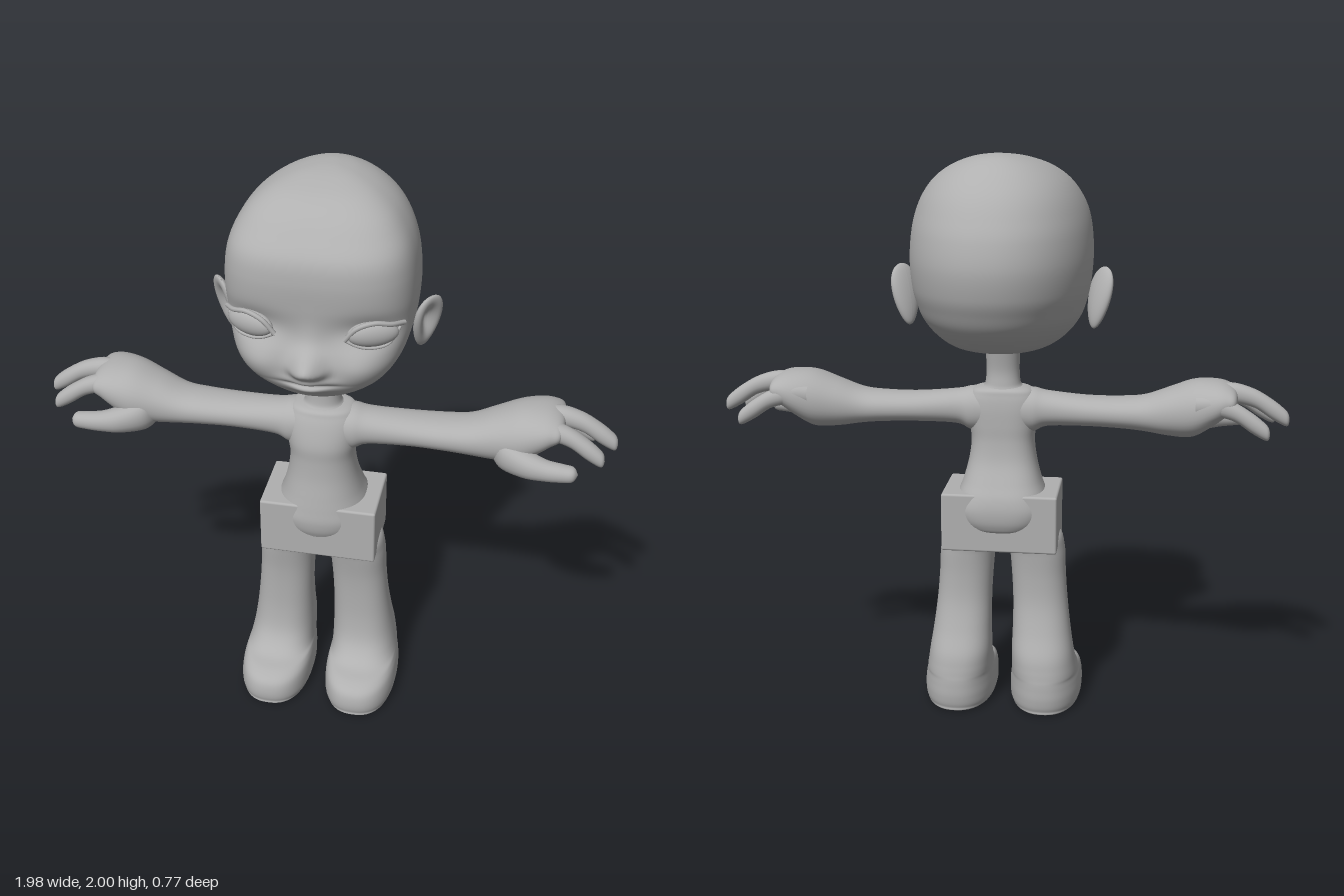
import * as THREE from 'three';
import { RoundedBoxGeometry } from 'three/addons/geometries/RoundedBoxGeometry.js';

const clay = new THREE.MeshStandardMaterial({ color: 0xb0b0b0 });
clay.name = 'clay grey';

function add(parent, name, geometry) {
  const mesh = new THREE.Mesh(geometry, clay);
  mesh.name = name;
  parent.add(mesh);
  return mesh;
}

// Smooth blend through neighbouring cross-sections
function spline(p0, p1, p2, p3, t) {
  return p1.map((b, i) => {
    const a = p0[i], c = p2[i], d = p3[i];
    return b + 0.5 * t * (c - a + t * (2 * a - 5 * b + 4 * c - d + t * (3 * (b - c) + d - a)));
  });
}

// Closed skin over sections [t, a0, a1, z0, z1]: extents of each ring.
// axis 'y': t = y, a = x.   axis 'x': t = x, a = y.
function loft(sections, { axis = 'y', seg = 40, steps = 6, nFront = 2.2, nBack = 2.2, mid = 0.5, warp } = {}) {
  const rings = [], last = sections.length - 1;
  const at = (i) => sections[Math.max(0, Math.min(last, i))];
  for (let i = 0; i < last; i++) {
    for (let k = 0; k < steps; k++) rings.push(spline(at(i - 1), at(i), at(i + 1), at(i + 2), k / steps));
  }
  rings.push(sections[last]);
  const pos = [], index = [];
  rings.forEach(([t, a0, a1, z0, z1], i) => {
    const zc = z0 + (z1 - z0) * mid;
    for (let j = 0; j < seg; j++) {
      const th = (j / seg) * Math.PI * 2, c = Math.cos(th), s = Math.sin(th);
      const n = s > 0 ? nFront : nBack;
      const r = Math.pow(Math.abs(c) ** n + Math.abs(s) ** n, -1 / n);
      const a = (a0 + a1) / 2 + (r * c * (a1 - a0)) / 2;
      const z = zc + r * s * (s > 0 ? z1 - zc : zc - z0);
      const p = axis === 'y' ? [a, t, z] : [t, a, z];
      if (warp) warp(p);
      pos.push(...p);
      if (i === rings.length - 1) continue;
      const j2 = (j + 1) % seg;
      const A = i * seg + j, B = i * seg + j2, C = A + seg, D = B + seg;
      if (axis === 'y') index.push(A, C, B, B, C, D);
      else index.push(A, B, C, B, D, C);
    }
  });
  const g = new THREE.BufferGeometry();
  g.setAttribute('position', new THREE.Float32BufferAttribute(pos, 3));
  g.setIndex(index);
  g.computeVertexNormals();
  return g;
}

const sym = (rows) => rows.map(([y, w, zb, zf]) => [y, -w, w, zb, zf]);

// Face relief: [x, y, spreadX, spreadY, depth]
const relief = [
  [0, 1.468, 0.034, 0.03, 0.085], [0, 1.53, 0.03, 0.04, 0.012], // nose, bridge
  [0.04, 1.452, 0.018, 0.016, 0.015], // nostril wings
  [0, 1.395, 0.06, 0.032, 0.03], // muzzle
  [0, 1.414, 0.045, 0.009, 0.012], [0, 1.378, 0.04, 0.01, 0.012], // lips
  [0, 1.397, 0.055, 0.005, -0.012], // mouth crease
  [0, 1.335, 0.05, 0.02, 0.012], // chin
  [0.17, 1.455, 0.075, 0.055, 0.04], // cheeks
  [0.19, 1.58, 0.07, 0.035, -0.022], // eye sockets
];
function faceWarp(p) {
  const weight = THREE.MathUtils.smoothstep(p[2], 0.06, 0.22);
  if (!weight) return;
  let dz = 0;
  for (const [x, y, sx, sy, d] of relief) {
    dz += d * Math.exp(-(((Math.abs(p[0]) - x) / sx) ** 2 + ((p[1] - y) / sy) ** 2) / 2);
  }
  p[2] += dz * weight;
}

function buildHead() {
  const head = new THREE.Group();
  head.name = 'head';
  add(head, 'skull', loft(sym([
    [1.3, 0, 0.16, 0.16], [1.303, 0.06, 0.1, 0.21], [1.325, 0.125, -0.03, 0.25], [1.36, 0.19, -0.19, 0.28],
    [1.4, 0.237, -0.26, 0.29], [1.45, 0.272, -0.31, 0.292], [1.5, 0.29, -0.34, 0.292], [1.56, 0.303, -0.366, 0.29],
    [1.65, 0.31, -0.38, 0.3], [1.74, 0.305, -0.366, 0.305], [1.81, 0.29, -0.336, 0.293], [1.87, 0.262, -0.3, 0.25],
    [1.92, 0.222, -0.255, 0.202], [1.96, 0.165, -0.205, 0.14], [1.987, 0.095, -0.15, 0.055],
    [1.998, 0.035, -0.1, -0.01], [2.0, 0, -0.06, -0.06],
  ]), { seg: 128, steps: 11, nFront: 3, nBack: 2.1, mid: 0.64, warp: faceWarp }));
  for (const side of [1, -1]) {
    const half = new THREE.Group();
    half.name = side > 0 ? 'leftFace' : 'rightFace';
    half.scale.x = side;
    half.add(buildEye(), buildEar());
    head.add(half);
  }
  return head;
}

function buildEye() {
  const eye = new THREE.Group();
  eye.name = 'eye';
  eye.position.set(0.195, 1.575, 0.263);
  eye.rotation.y = 0.38;
  const ball = add(eye, 'eyeball', new THREE.SphereGeometry(1, 32, 20));
  ball.scale.set(0.083, 0.043, 0.03);
  const lid = (name, pts, r) => add(eye, name, new THREE.TubeGeometry(
    new THREE.CatmullRomCurve3(pts.map((p) => new THREE.Vector3(...p))), 28, r, 8));
  lid('upperLid', [[-0.09, -0.016, 0], [-0.055, 0.03, 0.016], [0, 0.046, 0.02], [0.055, 0.034, 0.012], [0.105, 0.02, -0.02]], 0.008);
  lid('lowerLid', [[-0.09, -0.016, 0], [-0.045, -0.038, 0.01], [0, -0.045, 0.012], [0.05, -0.035, 0.008], [0.09, 0.012, -0.01]], 0.005);
  return eye;
}

// Flattened shell with a hollow bowl, narrowing to the lobe
function buildEar() {
  const g = new THREE.SphereGeometry(1, 48, 48);
  const p = g.attributes.position;
  for (let i = 0; i < p.count; i++) {
    const x = p.getX(i), y = p.getY(i), z = p.getZ(i);
    const taper = 0.8 + 0.22 * y;
    const bowl = x > 0 ? 1.5 * Math.exp(-((y - 0.1) ** 2 / 0.3 + (z - 0.05) ** 2 / 0.22)) : 0;
    p.setXYZ(i, (x - bowl) * 0.026, y * 0.107, z * 0.068 * taper);
  }
  g.computeVertexNormals();
  const ear = add(new THREE.Group(), 'ear', g);
  ear.position.set(0.335, 1.515, 0.038);
  ear.rotation.set(0.08, -0.7, -0.22);
  return ear;
}

function buildArm() {
  const arm = new THREE.Group();
  arm.name = 'arm';
  add(arm, 'armAndPalm', loft([
    [0, 1.05, 1.18, 0.0, 0.15], [0.1, 1.03, 1.187, -0.005, 0.155], [0.16, 1.053, 1.176, 0, 0.145],
    [0.3, 1.06, 1.165, -0.015, 0.14], [0.42, 1.057, 1.166, -0.025, 0.143], [0.5, 1.05, 1.175, -0.032, 0.145],
    [0.58, 1.04, 1.205, -0.055, 0.152], [0.66, 1.04, 1.235, -0.08, 0.165], [0.72, 1.075, 1.241, -0.092, 0.163],
    [0.77, 1.115, 1.235, -0.09, 0.152], [0.805, 1.145, 1.215, -0.07, 0.13], [0.815, 1.18, 1.18, 0.03, 0.03],
  ], { axis: 'x' }));
  // Three fingers: [shift x, shift y, z at base, z at tip]
  [[-0.07, -0.03, -0.053, -0.068], [0, 0, 0.022, 0.022], [-0.04, -0.012, 0.095, 0.115]].forEach(([dx, dy, zb, zt], i) => {
    const rows = [[0.74, 1.16, 1.23, 0.03], [0.8, 1.165, 1.234, 0.034], [0.87, 1.15, 1.214, 0.032],
      [0.93, 1.112, 1.18, 0.031], [0.972, 1.09, 1.148, 0.026], [0.987, 1.09, 1.13, 0.018], [0.992, 1.108, 1.108, 0]];
    add(arm, 'finger' + (i + 1), loft(rows.map(([x, y0, y1, r]) => {
      const z = zb + (zt - zb) * (x - 0.74) / 0.25;
      return [x + dx, y0 + dy, y1 + dy, z - r, z + r];
    }), { axis: 'x', seg: 24 }));
  });
  add(arm, 'thumb', loft([
    [0.57, 1.09, 1.09, 0.1, 0.1], [0.61, 1.036, 1.15, 0.05, 0.165], [0.69, 1.032, 1.13, 0.1, 0.202],
    [0.76, 1.04, 1.112, 0.138, 0.212], [0.82, 1.046, 1.106, 0.15, 0.213], [0.855, 1.052, 1.1, 0.157, 0.207],
    [0.87, 1.076, 1.076, 0.182, 0.182],
  ], { axis: 'x', seg: 24 }));
  return arm;
}

function buildLeg() {
  const leg = new THREE.Group();
  leg.name = 'leg';
  add(leg, 'legAndFoot', loft([
    [0.003, 0.16, 0.16, 0.12, 0.12], [0.004, 0.055, 0.265, -0.07, 0.32], [0.02, 0.032, 0.286, -0.092, 0.342],
    [0.06, 0.028, 0.29, -0.1, 0.346], [0.1, 0.03, 0.286, -0.1, 0.333], [0.124, 0.034, 0.28, -0.099, 0.295],
    [0.14, 0.037, 0.276, -0.097, 0.235], [0.17, 0.038, 0.27, -0.093, 0.195], [0.22, 0.038, 0.262, -0.083, 0.168],
    [0.3, 0.04, 0.25, -0.052, 0.155], [0.4, 0.04, 0.238, -0.026, 0.153], [0.5, 0.035, 0.23, -0.02, 0.158],
    [0.6, 0.026, 0.224, -0.025, 0.172], [0.66, 0.015, 0.2, -0.03, 0.18], [0.68, 0.11, 0.11, 0.07, 0.07],
  ], { nFront: 2.5, nBack: 2.3, seg: 56 }));
  return leg;
}

export function createModel() {
  const model = new THREE.Group();
  model.name = 'figure';
  model.add(buildHead());

  add(model, 'neck', loft(sym([
    [1.12, 0.07, 0.01, 0.14], [1.18, 0.075, 0.01, 0.14], [1.205, 0.062, 0.015, 0.13],
    [1.26, 0.058, 0.018, 0.128], [1.36, 0.062, 0.0, 0.13],
  ])));

  add(model, 'torso', loft(sym([
    [0.665, 0, 0.05, 0.05], [0.68, 0.1, -0.05, 0.17], [0.71, 0.15, -0.078, 0.2], [0.76, 0.172, -0.086, 0.211],
    [0.81, 0.157, -0.078, 0.207], [0.86, 0.138, -0.055, 0.2], [0.93, 0.12, -0.025, 0.19], [1.0, 0.112, -0.013, 0.187],
    [1.06, 0.12, -0.012, 0.188], [1.12, 0.128, -0.01, 0.175], [1.165, 0.118, -0.003, 0.158],
    [1.19, 0.09, 0.01, 0.14], [1.2, 0, 0.07, 0.07],
  ]), { seg: 56, nBack: 2.8 }));

  const hips = add(model, 'hipBlock', new RoundedBoxGeometry(0.41, 0.21, 0.26, 3, 0.008));
  hips.position.set(0, 0.72, 0.065);

  for (const side of [1, -1]) {
    const limbs = new THREE.Group();
    limbs.name = side > 0 ? 'leftLimbs' : 'rightLimbs';
    limbs.scale.x = side;
    limbs.add(buildArm(), buildLeg());
    model.add(limbs);
  }
  return model;
}
